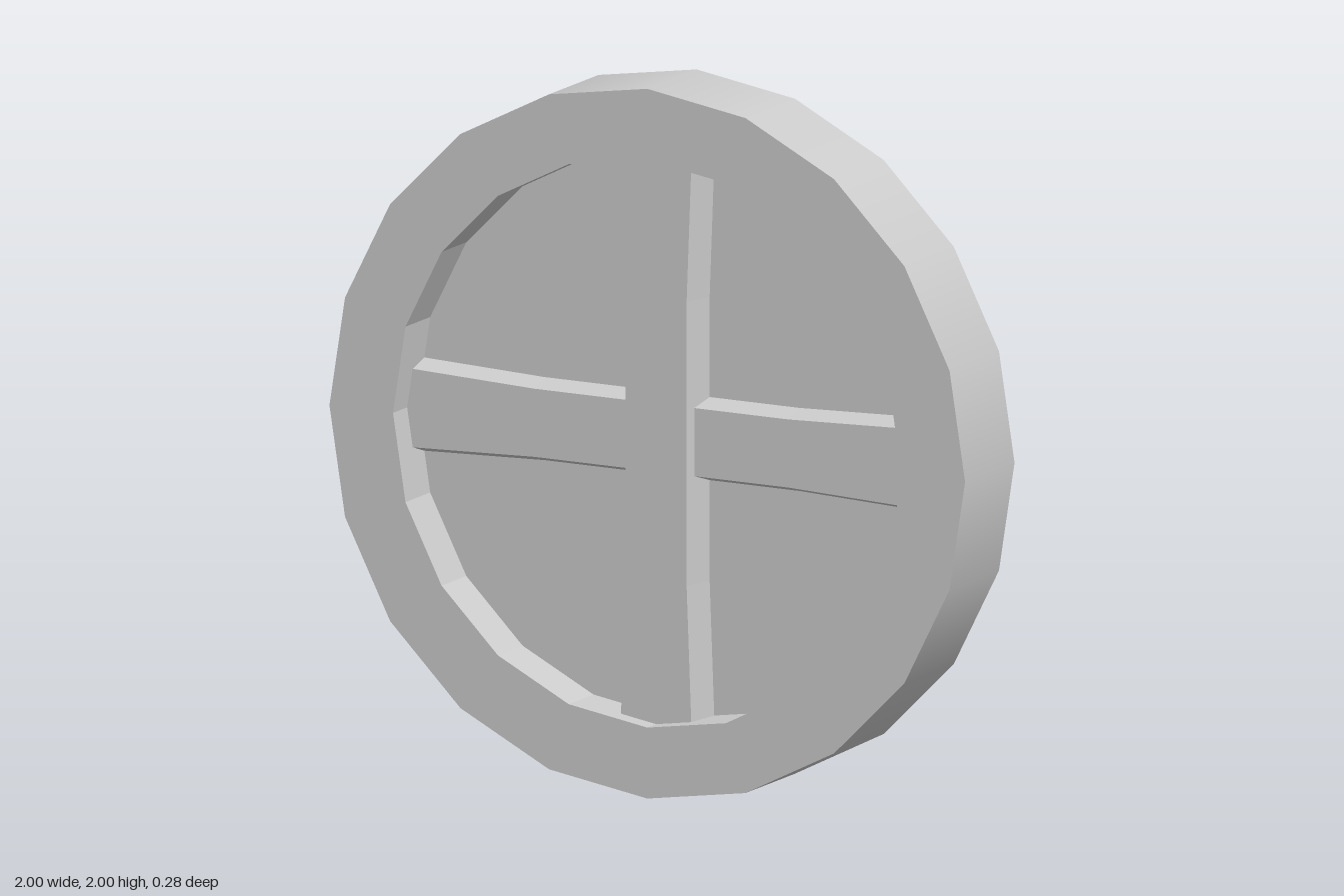
import * as THREE from 'three';

const smooth = new THREE.MeshStandardMaterial({ color: 0xcccccc, side: THREE.DoubleSide });
const flat = new THREE.MeshStandardMaterial({ color: 0xcccccc, side: THREE.DoubleSide, flatShading: true });
const SIDES = 20;

function add(group, name, geometry, material) {
  const mesh = new THREE.Mesh(geometry, material);
  mesh.name = name;
  group.add(mesh);
  return mesh;
}

// Open tube along z, with a corner at the top
function tube(radius, front, back) {
  return new THREE.CylinderGeometry(radius, radius, front - back, SIDES, 1, true)
    .rotateX(Math.PI / 2)
    .translate(0, 0, (front + back) / 2);
}

// Upright bar, open at the back, with sloping sides and flared ends
function bar(front, back, slope) {
  const stations = [[-0.9, 0.115], [-0.4, 0.096], [0.4, 0.096], [0.9, 0.115]];
  const sections = stations.map(([y, w]) => {
    const wide = w + slope * (front - back);
    return [[-wide, y, back], [-w, y, front], [w, y, front], [wide, y, back]];
  });
  const positions = [];
  for (let i = 0; i < sections.length - 1; i++) {
    for (let j = 0; j < 3; j++) {
      const a = sections[i][j], b = sections[i][j + 1];
      const c = sections[i + 1][j + 1], d = sections[i + 1][j];
      positions.push(...a, ...b, ...c, ...a, ...c, ...d);
    }
  }
  const geometry = new THREE.BufferGeometry();
  geometry.setAttribute('position', new THREE.Float32BufferAttribute(positions, 3));
  geometry.computeVertexNormals();
  return geometry;
}

export function createModel() {
  const group = new THREE.Group();
  group.name = 'roundWindow';
  const frame = new THREE.Group();
  frame.name = 'frame';
  frame.position.y = 1;
  group.add(frame);

  // Ring frame: outer wall, front face and inner wall, open at the back
  add(frame, 'outerWall', tube(1, 0.14, -0.14), smooth);
  add(frame, 'frontRing', new THREE.RingGeometry(0.8, 1, SIDES).translate(0, 0, 0.14), flat);
  add(frame, 'innerWall', tube(0.8, 0.14, -0.12), flat);

  // Pane spanning the whole frame
  add(frame, 'pane', new THREE.CircleGeometry(1, 10, Math.PI / 10), flat);

  // Crossed glazing bars, the upright one in front
  add(frame, 'verticalBar', bar(0.09, -0.03, 0.25), flat);
  add(frame, 'horizontalBar', bar(0.06, -0.08, 0.35).rotateZ(Math.PI / 2), flat);

  return group;
}
